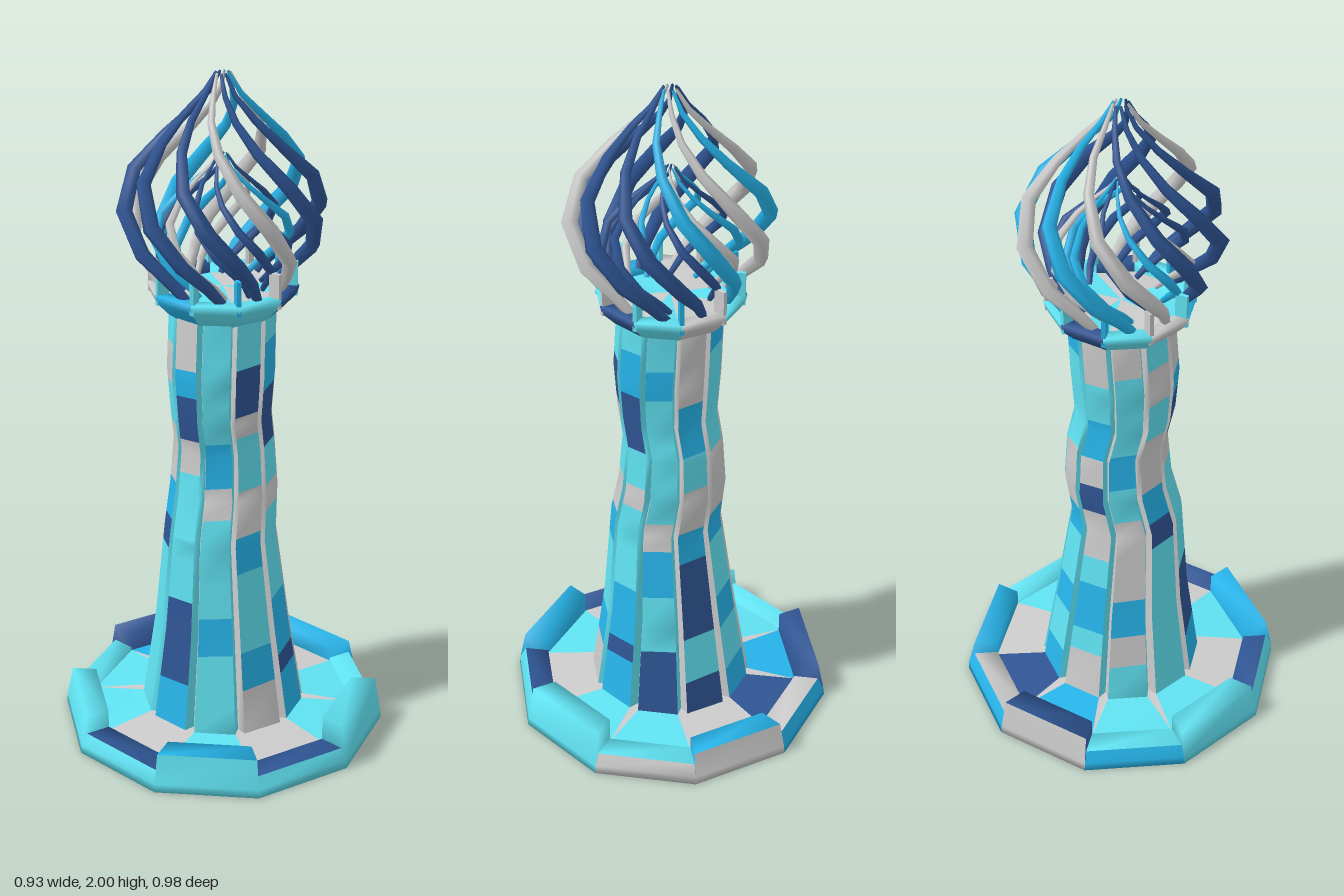
import * as THREE from 'three';
import { mergeVertices } from 'three/addons/utils/BufferGeometryUtils.js';

const SIDES = 10;
const STEP = (Math.PI * 2) / SIDES;
const G = 0xcccccc, D = 0x2f5594, B = 0x26b4ea, C = 0x60e2f2;

let seed = 11;
const rand = () => (seed = (seed * 16807) % 2147483647) / 2147483647;
const pickColor = () => [C, C, C, C, G, G, B, B, D][Math.floor(rand() * 9)];

// Point at radius r, height y; the angle runs from +z towards +x
const polar = (r, a, y, dz = 0) => [r * Math.sin(a), y, r * Math.cos(a) + dz];

// Collects the faces of one part, sorted by colour, with soft shading
class Part {
  constructor(name) { this.name = name; this.bins = new Map(); }
  tri(color, ...corners) {
    if (!this.bins.has(color)) this.bins.set(color, []);
    this.bins.get(color).push(...corners.flat());
  }
  quad(color, a, b, c, d) { this.tri(color, a, b, c); this.tri(color, a, c, d); }
  build() {
    const group = new THREE.Group();
    group.name = this.name;
    for (const [color, positions] of this.bins) {
      let geometry = new THREE.BufferGeometry();
      geometry.setAttribute('position', new THREE.Float32BufferAttribute(positions, 3));
      geometry = mergeVertices(geometry);
      geometry.computeVertexNormals();
      const mesh = new THREE.Mesh(geometry, new THREE.MeshStandardMaterial({ color, side: THREE.DoubleSide }));
      mesh.name = this.name + 'Faces';
      group.add(mesh);
    }
    return group;
  }
}

// One side of a ten-sided ring: sweeps a profile of [radius, y, color]
function ringSegment(part, k, profile) {
  const a = k * STEP, b = a + STEP;
  for (let i = 0; i < profile.length - 1; i++) {
    const [r0, y0, color] = profile[i], [r1, y1] = profile[i + 1];
    part.quad(color, polar(r0, a, y0), polar(r0, b, y0), polar(r1, b, y1), polar(r1, a, y1));
  }
}

// Shaft outline: height, radius and sway in z
const SHAFT = [[0.06, 0.245, 0], [0.35, 0.2, 0.005], [0.65, 0.165, 0.018], [0.78, 0.158, -0.008],
  [0.92, 0.147, -0.01], [1.02, 0.146, 0.012], [1.15, 0.155, 0.012], [1.34, 0.152, 0]];
function shaftPoint(a, y, depth = 1) {
  let i = 0;
  while (i < SHAFT.length - 2 && y > SHAFT[i + 1][0]) i++;
  const [y0, r0, z0] = SHAFT[i], [y1, r1, z1] = SHAFT[i + 1], t = (y - y0) / (y1 - y0);
  return polar((r0 + (r1 - r0) * t) * depth, a, y, z0 + (z1 - z0) * t);
}
const GROOVE = 0.06;

// Base: rim with alternating raised blocks, sloping floor, wedge gaps at the corners
function makeBase() {
  const part = new Part('base');
  const height = [0.115, 0.06, 0.135, 0.06, 0.1, 0.06, 0.115, 0.06, 0.115, 0.06];
  const outer = [C, C, C, G, G, B, G, B, C, C];
  const top = [B, D, C, C, B, G, D, C, C, D];
  const floor = [C, G, C, C, G, D, B, C, C, G];
  for (let k = 0; k < SIDES; k++) {
    const a = k * STEP, b = a + STEP, h = height[k];
    const profile = [[0.395, 0, outer[k]], [0.49, 0, outer[k]], [0.487, 0.025, outer[k]],
      [0.468, h, top[k]], [0.395, h, top[k]], [0.395, 0, G]];
    ringSegment(part, k, profile);
    // End faces of the block
    for (let i = 1; i < 4; i++) {
      const [p, q, s] = [profile[0], profile[i], profile[i + 1]];
      part.tri(top[k], ...[p, q, s].map(([r, y]) => polar(r, a, y)));
      part.tri(top[k], ...[s, q, p].map(([r, y]) => polar(r, b, y)));
    }
    part.quad(floor[k], polar(0.395, a, 0.05), polar(0.395, b, 0.05),
      shaftPoint(b - GROOVE, 0.06), shaftPoint(a + GROOVE, 0.06));
    for (const s of [-1, 1]) {
      const edge = shaftPoint(a + s * GROOVE, 0.06), deep = shaftPoint(a, 0.06, 0.88);
      part.tri(G, polar(0.395, a, 0.05), ...(s > 0 ? [edge, deep] : [deep, edge]));
    }
  }
  return part.build();
}

// Shaft: ten panels of coloured, slightly tilted bands, parted by grooves
function makeShaft() {
  const part = new Part('shaft');
  for (let k = 0; k < SIDES; k++) {
    const a = k * STEP + GROOVE, b = (k + 1) * STEP - GROOVE, corner = (k + 1) * STEP;
    const levels = SHAFT.map(([y]) => ({ y, tilt: 0 }));
    for (let i = 0; i < 9; i++) levels.push({ y: 0.14 + i * 0.13 + rand() * 0.08, tilt: 0.004 });
    levels.sort((p, q) => p.y - q.y);
    let color = pickColor();
    for (let i = 0; i < levels.length - 1; i++) {
      const p = levels[i], q = levels[i + 1];
      if (p.tilt) color = pickColor();
      part.quad(color, shaftPoint(a, p.y - p.tilt), shaftPoint(b, p.y + p.tilt),
        shaftPoint(b, q.y + q.tilt), shaftPoint(a, q.y - q.tilt));
    }
    for (let i = 0; i < SHAFT.length - 1; i++) {
      const y0 = SHAFT[i][0], y1 = SHAFT[i + 1][0];
      const deep0 = shaftPoint(corner, y0, 0.88), deep1 = shaftPoint(corner, y1, 0.88);
      part.quad(C, shaftPoint(b, y0), deep0, deep1, shaftPoint(b, y1));
      part.quad(G, deep0, shaftPoint(corner + GROOVE, y0), shaftPoint(corner + GROOVE, y1), deep1);
    }
  }
  return part.build();
}

// Capital: flared crown with a level rim and a shallow floor
function makeCapital() {
  const part = new Part('capital');
  const colors = [C, C, D, C, G, C, D, C, G, B];
  colors.forEach((c, k) => {
    const a = k * STEP, b = a + STEP;
    ringSegment(part, k, [[0.15, 1.32, c], [0.172, 1.335, c], [0.21, 1.375, c], [0.216, 1.4, c],
      [0.175, 1.4, c], [0.175, 1.37, c]]);
    part.tri(k % 3 ? G : C, polar(0.175, a, 1.37), polar(0.175, b, 1.37), [0, 1.39, 0]);
  });
  return part.build();
}

// Thin upright fins on the corners of the crown
function makeFins() {
  const group = new THREE.Group();
  group.name = 'crownFins';
  for (let k = 0; k < SIDES; k++) {
    const fin = new THREE.Mesh(new THREE.BoxGeometry(0.012, 0.1, 0.036),
      new THREE.MeshStandardMaterial({ color: [C, B, G][k % 3] }));
    fin.name = 'crownFin';
    fin.position.set(...polar(0.193, k * STEP, 1.42));
    fin.rotation.y = k * STEP;
    group.add(fin);
  }
  return group;
}

// Dome rib: [radius, y, twist in degrees, thickness] from foot to tip
const RIB = [[0.165, 1.39, 112, 0.014], [0.2, 1.45, 100, 0.018], [0.25, 1.52, 86, 0.022],
  [0.275, 1.62, 68, 0.024], [0.245, 1.72, 51, 0.021], [0.17, 1.81, 36, 0.015],
  [0.105, 1.88, 23, 0.011], [0.05, 1.94, 10, 0.008], [0.02, 1.995, -10, 0.004]];

function makeDome(name, colors, spread, rise, thickness, turn) {
  const part = new Part(name);
  const n = 5;
  for (let k = 0; k < SIDES; k++) {
    const path = RIB.map(([r, y, deg]) => new THREE.Vector3(
      ...polar(r * spread, k * STEP + turn + THREE.MathUtils.degToRad(deg), 1.39 + (y - 1.39) * rise)));
    const rings = path.map((p, i) => {
      const along = path[Math.min(i + 1, path.length - 1)].clone().sub(path[Math.max(i - 1, 0)]).normalize();
      const out = new THREE.Vector3(p.x, 0, p.z).normalize();
      const side = along.clone().cross(out).normalize();
      const normal = side.clone().cross(along);
      const w = RIB[i][3] * thickness;
      return Array.from({ length: n }, (_, j) => {
        const t = (j / n) * Math.PI * 2;
        return p.clone().addScaledVector(side, w * Math.cos(t)).addScaledVector(normal, w * Math.sin(t)).toArray();
      });
    });
    for (let i = 0; i < rings.length - 1; i++) {
      for (let j = 0; j < n; j++) {
        const m = (j + 1) % n;
        part.quad(colors[k], rings[i][m], rings[i][j], rings[i + 1][j], rings[i + 1][m]);
      }
    }
  }
  return part.build();
}

export function createModel() {
  const model = new THREE.Group();
  model.name = 'spiralTower';
  model.add(
    makeBase(),
    makeShaft(),
    makeCapital(),
    makeFins(),
    makeDome('outerDome', [D, D, B, G, B, G, D, D, D, G], 1, 1, 1, 0.35),
    makeDome('innerDome', [D, B, D, G, B, D, B, G, D, D], 0.7, 0.63, 0.6, 0.4),
  );
  return model;
}
